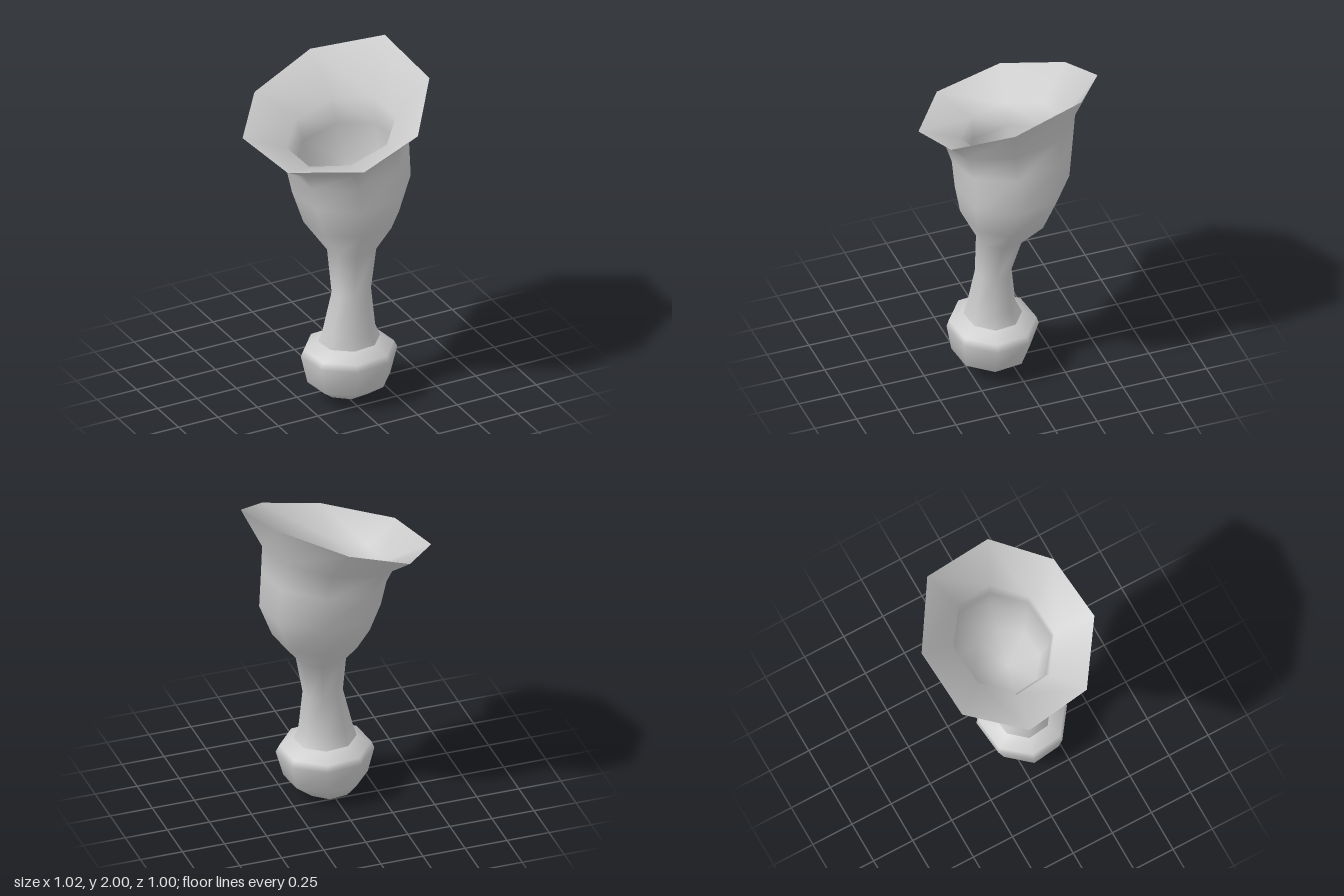
import * as THREE from 'three';

const SIDES = 8;
const PHASE = THREE.MathUtils.degToRad(16);

// Ring of eight corners: centre, half widths in x and z, tilt of its plane in x and z
function ring(cx, cy, cz, hx, hz, tiltX = 0, tiltZ = 0) {
  const k = 1 / Math.cos(PHASE);
  return Array.from({ length: SIDES }, (_, i) => {
    const a = PHASE + (i / SIDES) * Math.PI * 2;
    const dx = Math.cos(a) * hx * k, dz = Math.sin(a) * hz * k;
    return [cx + dx, cy + dx * tiltX + dz * tiltZ, cz + dz];
  });
}

// Smooth skin through rings listed from bottom to top; tip closes the lower end
function loft(name, rings, { tip = null, inward = false } = {}) {
  const pos = rings.flat(2), idx = [];
  const tri = (a, b, c) => (inward ? idx.push(a, c, b) : idx.push(a, b, c));
  for (let r = 0; r < rings.length - 1; r++) {
    for (let i = 0; i < SIDES; i++) {
      const j = (i + 1) % SIDES;
      const a = r * SIDES + i, b = r * SIDES + j;
      tri(a, a + SIDES, b);
      tri(b, a + SIDES, b + SIDES);
    }
  }
  if (tip) {
    const t = pos.length / 3;
    pos.push(...tip);
    for (let i = 0; i < SIDES; i++) tri(t, i, (i + 1) % SIDES);
  }
  const geo = new THREE.BufferGeometry();
  geo.setAttribute('position', new THREE.Float32BufferAttribute(pos, 3));
  geo.setIndex(idx);
  geo.computeVertexNormals();
  const mesh = new THREE.Mesh(geo, new THREE.MeshStandardMaterial({ color: 0xcccccc, side: THREE.DoubleSide }));
  mesh.name = name;
  return mesh;
}

export function createModel() {
  const group = new THREE.Group();
  group.name = 'goblet';

  // Slanted, slightly uneven lip
  const rim = [
    [0.51, 1.91, 0.15], [0.28, 1.74, 0.445], [-0.09, 1.63, 0.5], [-0.445, 1.6, 0.255],
    [-0.515, 1.645, -0.15], [-0.28, 1.735, -0.45], [0.1, 1.89, -0.5], [0.45, 2.0, -0.27],
  ];

  // Rounded foot
  group.add(loft('foot', [
    ring(0.015, 0.037, 0.085, 0.135, 0.14),
    ring(0.02, 0.11, 0.11, 0.23, 0.21),
    ring(0.027, 0.27, 0.1, 0.268, 0.247),
    ring(0.025, 0.31, 0.1, 0.25, 0.235),
    ring(0.027, 0.355, 0.1, 0.17, 0.157),
  ], { tip: [0.015, 0, 0.085] }));

  // Stem widening into the bowl and flaring to the lip
  group.add(loft('stemAndBowl', [
    ring(0.027, 0.355, 0.1, 0.172, 0.157),
    ring(0.022, 0.43, 0.107, 0.147, 0.128),
    ring(0.04, 0.66, 0.102, 0.11, 0.098),
    ring(0.063, 0.91, 0.067, 0.138, 0.132),
    ring(0.075, 1.085, 0.035, 0.265, 0.25),
    ring(0.09, 1.28, 0.008, 0.33, 0.307, 0.05, -0.06),
    ring(0.07, 1.47, 0, 0.34, 0.325, 0.17, -0.1),
    ring(0.035, 1.605, 0.002, 0.365, 0.352, 0.23, -0.14),
    rim,
  ]));

  // Hollow inside of the bowl
  group.add(loft('bowlInside', [
    ring(0.08, 1.09, 0.035, 0.19, 0.18),
    ring(0.09, 1.28, 0.01, 0.28, 0.26, 0.05, -0.06),
    ring(0.065, 1.47, -0.005, 0.285, 0.27, 0.17, -0.1),
    ring(0.037, 1.61, -0.01, 0.305, 0.275, 0.23, -0.14),
    rim,
  ], { tip: [0.08, 1.02, 0.04], inward: true }));

  return group;
}
